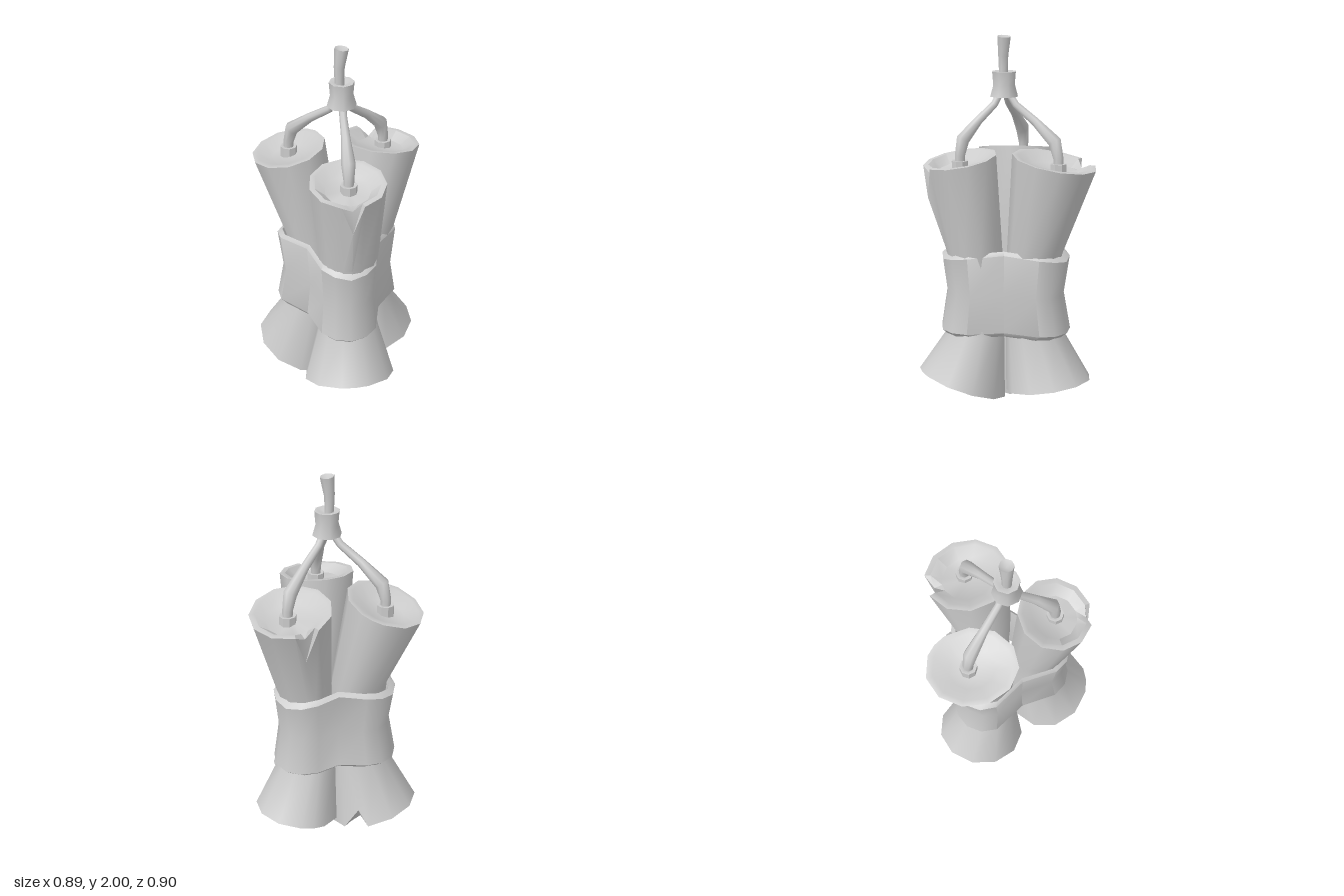
import * as THREE from 'three';
import { toCreasedNormals } from 'three/addons/utils/BufferGeometryUtils.js';

const V = (x, y, z) => new THREE.Vector3(x, y, z);
const grey = new THREE.MeshStandardMaterial({ color: 0xcccccc });
grey.name = 'plain grey';

// Skin between successive rings of points (counterclockwise seen from above, bottom to top)
function loft(name, rings, { closed = false, crease = 0.75 } = {}) {
  const pos = [], idx = [], n = rings[0].length;
  rings.forEach(r => r.forEach(p => pos.push(p.x, p.y, p.z)));
  const last = closed ? rings.length : rings.length - 1;
  for (let i = 0; i < last; i++) {
    const k = (i + 1) % rings.length;
    for (let j = 0; j < n; j++) {
      const m = (j + 1) % n;
      const a = i * n + j, b = i * n + m, c = k * n + m, d = k * n + j;
      idx.push(a, b, c, a, c, d);
    }
  }
  const g = new THREE.BufferGeometry();
  g.setAttribute('position', new THREE.Float32BufferAttribute(pos, 3));
  g.setIndex(idx);
  const mesh = new THREE.Mesh(toCreasedNormals(g, crease), grey);
  mesh.name = name;
  return mesh;
}

// Elliptical ring on a sloped plane, with a point at each given angle
function ring(s, scale, drop, angles) {
  return angles.map(a => {
    const dx = Math.sin(a) * s.rx * scale, dz = Math.cos(a) * s.rz * scale;
    return V(s.c.x + dx, s.c.y + drop + s.sx * dx + s.sz * dz, s.c.z + dz);
  });
}
const station = (x, y, z, rx, rz = rx, sx = 0, sz = 0) => ({ c: V(x, y, z), rx, rz, sx, sz });
const octagon = Array.from({ length: 8 }, (_, i) => i * Math.PI / 4);

// Flared stick with a hollow at both ends; the rim point at angle az may be torn by an offset
function stick(name, { bottom, low, mid, high, top, az, tornTop = V(0, 0, 0), tornBottom = V(0, 0, 0), floor = 0.6 }) {
  // the torn point sits between two close neighbours, the rest are evenly spread
  const gap = 0.3;
  const angles = [az];
  for (let i = 0; i <= 10; i++) angles.push(az + gap + (i / 10) * (Math.PI * 2 - gap * 2));
  const R = (s, k = 1, d = 0) => ring(s, k, d, angles);
  const outerB = R(bottom), outerT = R(top);
  outerT[0].add(tornTop);
  outerB[0].add(tornBottom);
  const innerT = R(top, 0.86), innerB = R(bottom, 0.78);
  innerT[0].addScaledVector(tornTop, 0.25);
  innerB[0].addScaledVector(tornBottom, 0.4);
  return loft(name, [
    R(bottom, 0, 0.04), R(bottom, 0.68, 0.04), innerB, outerB,
    R(low), R(mid), R(high),
    outerT, innerT, R(top, floor, -0.045), R(top, 0, -0.045),
  ]);
}

// Round cord of varying thickness; stations are [point, radius]
function cord(name, stations) {
  const up = V(0, 1, 0), rings = [];
  stations.forEach(([p, r], i) => {
    const next = stations[Math.min(i + 1, stations.length - 1)][0];
    const prev = stations[Math.max(i - 1, 0)][0];
    const q = new THREE.Quaternion().setFromUnitVectors(up, next.clone().sub(prev).normalize());
    const at = (k, sink = 0) => octagon.map(a =>
      V(Math.sin(a) * r * k, -sink, Math.cos(a) * r * k).applyQuaternion(q).add(p));
    if (i === 0) rings.push(at(0));
    rings.push(at(1));
    if (i === stations.length - 1) rings.push(at(0, 0.02));
  });
  return loft(name, rings, { crease: 1.1 });
}

// Band wrapped around the three sticks, pulled in between them, with bevelled edges
function band() {
  const lobes = [[0, 0.152, 0], [0.15, -0.155, 2.27], [-0.165, -0.155, -2.27]];
  const dips = [[0.19, 0.05], [0, -0.28], [-0.195, 0.05]];
  const outline = [];
  lobes.forEach(([x, z, az], i) => {
    for (let k = -2; k <= 2; k++) {
      const a = az + k * Math.PI / 6;
      outline.push([x + 0.165 * Math.sin(a), z + 0.165 * Math.cos(a), Math.abs(k) / 3]);
    }
    outline.push([...dips[i], 1]);
  });
  const R = (k, y, wave) => outline.map(([x, z, w]) => V(x * k, y + wave * w, z * k));
  return loft('band', [
    R(0.88, 0.5, 0), R(0.94, 0.415, 0.015), R(1.04, 0.445, 0.01),
    R(0.94, 0.65, 0), R(1.02, 0.84, 0.04), R(0.94, 0.865, 0.035), R(0.89, 0.79, 0),
  ], { closed: true });
}

export function createModel() {
  const model = new THREE.Group();
  model.name = 'bundle';

  // Three sticks
  model.add(
    stick('frontStick', {
      bottom: station(0.005, 0.137, 0.22, 0.25, 0.232, 0, 0.36),
      low: station(0.01, 0.43, 0.145, 0.165, 0.155),
      mid: station(0.005, 0.65, 0.14, 0.135),
      high: station(0.01, 0.88, 0.15, 0.16, 0.15),
      top: station(-0.005, 1.372, 0.223, 0.2, 0.192, 0, -0.18),
      az: 0, tornTop: V(0, -0.16, -0.015),
    }),
    stick('leftStick', {
      bottom: station(0.215, 0.145, -0.2, 0.225, 0.23, 0.19, -0.1),
      low: station(0.14, 0.43, -0.145, 0.155),
      mid: station(0.135, 0.65, -0.14, 0.135),
      high: station(0.155, 0.88, -0.14, 0.15),
      top: station(0.237, 1.375, -0.212, 0.212, 0.222, -0.13, 0.14),
      az: Math.PI + 0.18, tornTop: V(0, -0.19, 0.06),
    }),
    stick('rightStick', {
      bottom: station(-0.22, 0.088, -0.195, 0.235, 0.245, -0.28, -0.21),
      low: station(-0.15, 0.43, -0.145, 0.155),
      mid: station(-0.14, 0.65, -0.14, 0.135),
      high: station(-0.145, 0.88, -0.14, 0.15),
      top: station(-0.258, 1.36, -0.212, 0.195, 0.237, 0.22, 0.09),
      az: Math.PI * 0.78, tornBottom: V(-0.02, 0.1, 0.02), floor: 0.5,
    }),
    band(),
  );

  // Socket and bent fuse in each stick, all meeting under the knot
  const knotZ = -0.02;
  const roots = { front: [0, 0.225], left: [0.255, -0.225], right: [-0.255, -0.23] };
  for (const [side, [x, z]] of Object.entries(roots)) {
    const toward = (t, y) => V(x - x * t, y, z + (knotZ - z) * t);
    const base = (r, y) => ring(station(x, y, z, r), 1, 0, octagon);
    model.add(
      loft(side + 'Socket', [base(0.045, 1.28), base(0.045, 1.365), base(0.03, 1.365), base(0, 1.34)]),
      cord(side + 'Fuse', [
        [toward(0, 1.32), 0.026], [toward(0, 1.39), 0.028], [toward(0.07, 1.475), 0.037],
        [toward(0.42, 1.57), 0.024], [toward(0.78, 1.65), 0.02], [toward(0.96, 1.73), 0.02],
      ]),
    );
  }

  // Flared knot with a hollow top
  const K = (r, y) => ring(station(0, y, knotZ, r), 1, 0, octagon);
  model.add(loft('knot', [
    K(0, 1.71), K(0.05, 1.69), K(0.077, 1.69), K(0.06, 1.75), K(0.066, 1.82), K(0.045, 1.82), K(0, 1.79),
  ], { crease: 0.9 }));

  // Main fuse rising from the knot
  model.add(cord('mainFuse', [
    [V(-0.01, 1.78, knotZ), 0.025], [V(-0.012, 1.84, knotZ), 0.025],
    [V(-0.012, 1.9, knotZ), 0.028], [V(0, 2, knotZ), 0.037],
  ]));
  return model;
}
